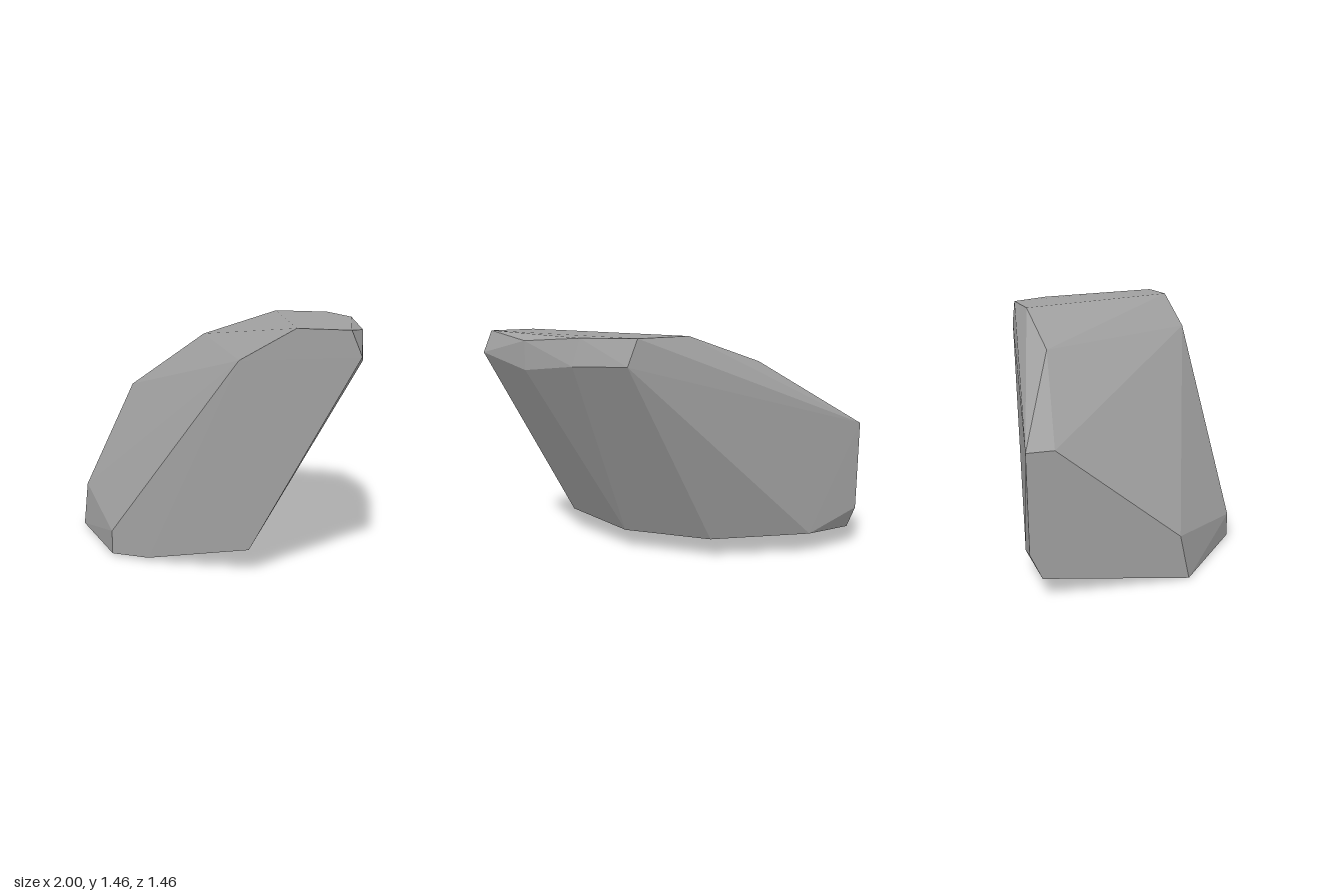
import * as THREE from 'three';
import { ConvexGeometry } from 'three/addons/geometries/ConvexGeometry.js';

const v = (x, y, z) => new THREE.Vector3(x, y, z);

export function createModel() {
  const group = new THREE.Group();
  group.name = 'rock';
  const stone = new THREE.MeshStandardMaterial({ color: 0xa0a0a0 });
  stone.name = 'stone grey';

  // flat left end of the slab
  const endFace = [
    v(-1, 0.86, -0.73), v(-1, 0.86, -0.57), v(-1, 0.27, 0.17),
    v(-1, 0, 0.23), v(-1, 0.13, -0.65), v(-1, 0.28, -0.72),
  ];
  // flat front
  const frontFace = [
    v(-0.53, 0.16, 0.71), v(0.31, 1.27, 0.73), v(0.64, 1.46, 0.73), v(0.94, 1.46, 0.73),
    v(1, 1.32, 0.73), v(0.37, 0.155, 0.72), v(-0.28, 0.02, 0.72), v(-0.53, 0.013, 0.71),
  ];
  // upper ridge and the chamfered crown edge
  const crown = [
    v(-0.36, 1.28, -0.44), v(0.18, 1.46, -0.43), v(0.54, 1.46, -0.43),
    v(0.76, 1.455, -0.15), v(0.915, 1.42, 0.28),
    v(0.61, 1.3, -0.43), v(0.81, 1.29, -0.14), v(0.92, 1.24, 0.27),
  ];
  // curved rim of the underside
  const underside = [v(0.29, 0.13, 0.14), v(-0.05, 0.135, -0.36), v(-0.64, 0.145, -0.66)];

  // faceted stone wrapped tightly around its corners
  const geometry = new ConvexGeometry([...endFace, ...frontFace, ...crown, ...underside]);
  const boulder = new THREE.Mesh(geometry, stone);
  boulder.name = 'boulder';
  group.add(boulder);
  return group;
}
